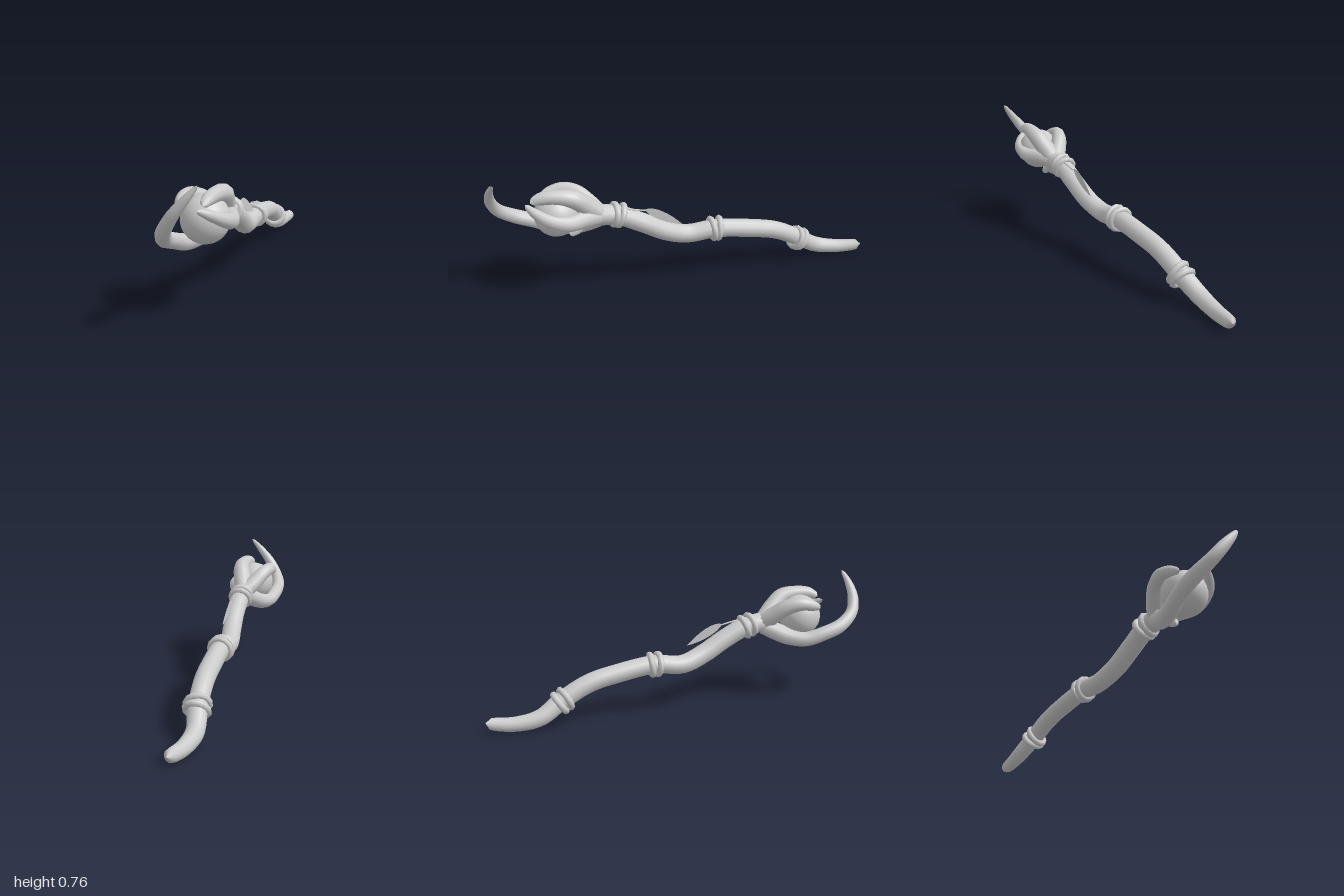
import * as THREE from 'three';

const material = new THREE.MeshStandardMaterial({ color: 0xcccccc });
const thin = new THREE.MeshStandardMaterial({ color: 0xcccccc, side: THREE.DoubleSide });
const V = (p) => new THREE.Vector3(p[0], p[1], p[2]);

// Tube through [x, y, z, radius] stations, with radius following the stations and closed ends
function limb(name, stations, sides = 10, stepsPer = 5) {
  const curve = new THREE.CatmullRomCurve3(stations.map(V));
  const n = (stations.length - 1) * stepsPer;
  const geo = new THREE.TubeGeometry(curve, n, 1, sides);
  const pos = geo.attributes.position;
  const v = new THREE.Vector3();
  for (let i = 0; i <= n; i++) {
    const centre = curve.getPointAt(i / n);
    const t = curve.getUtoTmapping(i / n) * (stations.length - 1);
    const k = Math.min(Math.floor(t), stations.length - 2);
    let r = THREE.MathUtils.lerp(stations[k][3], stations[k + 1][3], t - k);
    if (i === 0 || i === n) r = 0;
    for (let j = 0; j <= sides; j++) {
      const id = i * (sides + 1) + j;
      v.fromBufferAttribute(pos, id).sub(centre).multiplyScalar(r).add(centre);
      pos.setXYZ(id, v.x, v.y, v.z);
    }
  }
  const mesh = new THREE.Mesh(geo, material);
  mesh.name = name;
  return mesh;
}

// Pair of cord loops, slightly crossed, wrapped round the shaft
function binding(name, at, direction, radius) {
  const group = new THREE.Group();
  group.name = name;
  for (const s of [-1, 1]) {
    const loop = new THREE.Mesh(new THREE.TorusGeometry(radius, 0.019, 8, 12), material);
    loop.name = 'cordLoop';
    loop.position.z = s * 0.02;
    loop.rotation.set(s * 0.1, s * 0.08, 0);
    group.add(loop);
  }
  group.position.copy(V(at));
  group.quaternion.setFromUnitVectors(new THREE.Vector3(0, 0, 1), V(direction).normalize());
  return group;
}

export function createModel() {
  const model = new THREE.Group();
  model.name = 'staff';

  // Crooked shaft, from butt to head
  model.add(limb('shaft', [
    [0.99, 0.062, -0.625, 0.027], [0.94, 0.055, -0.61, 0.037], [0.83, 0.05, -0.57, 0.043],
    [0.71, 0.075, -0.51, 0.049], [0.61, 0.155, -0.42, 0.054], [0.48, 0.235, -0.325, 0.055],
    [0.33, 0.275, -0.225, 0.056], [0.15, 0.303, -0.11, 0.056], [0.0, 0.288, -0.025, 0.056],
    [-0.11, 0.335, 0.065, 0.058], [-0.22, 0.41, 0.145, 0.058], [-0.34, 0.477, 0.22, 0.058],
    [-0.43, 0.493, 0.275, 0.062], [-0.52, 0.505, 0.32, 0.06],
  ], 12));

  // Cord bindings
  model.add(binding('lowerBinding', [0.61, 0.15, -0.415], [-0.12, 0.09, 0.1], 0.06));
  model.add(binding('middleBinding', [0.15, 0.303, -0.11], [-0.17, 0, 0.1], 0.061));
  model.add(binding('upperBinding', [-0.345, 0.48, 0.222], [-0.11, 0.04, 0.08], 0.06));

  // Orb held by the claws
  const orb = new THREE.Mesh(new THREE.SphereGeometry(0.127, 24, 16), material);
  orb.name = 'orb';
  orb.position.set(-0.645, 0.52, 0.39);
  model.add(orb);

  // Claws
  model.add(limb('topClaw', [
    [-0.42, 0.49, 0.27, 0.05], [-0.475, 0.565, 0.335, 0.057], [-0.53, 0.63, 0.395, 0.052],
    [-0.61, 0.65, 0.44, 0.042], [-0.69, 0.645, 0.475, 0.036], [-0.745, 0.62, 0.495, 0.018],
  ]));
  model.add(limb('frontClaw', [
    [-0.42, 0.49, 0.27, 0.05], [-0.475, 0.505, 0.37, 0.05], [-0.54, 0.505, 0.46, 0.044],
    [-0.63, 0.535, 0.51, 0.037], [-0.71, 0.57, 0.51, 0.028], [-0.78, 0.602, 0.49, 0.012],
  ]));
  model.add(limb('backClaw', [
    [-0.42, 0.49, 0.27, 0.05], [-0.5, 0.545, 0.255, 0.052], [-0.58, 0.6, 0.25, 0.047],
    [-0.66, 0.62, 0.265, 0.04], [-0.73, 0.605, 0.305, 0.032], [-0.77, 0.585, 0.35, 0.015],
  ]));
  model.add(limb('hookClaw', [
    [-0.42, 0.48, 0.27, 0.05], [-0.5, 0.445, 0.28, 0.054], [-0.59, 0.41, 0.29, 0.052],
    [-0.7, 0.395, 0.305, 0.045], [-0.81, 0.43, 0.34, 0.043], [-0.9, 0.47, 0.395, 0.042],
    [-0.96, 0.54, 0.48, 0.036], [-0.96, 0.62, 0.545, 0.032], [-0.925, 0.7, 0.6, 0.022],
    [-0.88, 0.765, 0.635, 0.009],
  ]));
  model.add(limb('thornStub', [
    [-0.53, 0.43, 0.3, 0.03], [-0.56, 0.4, 0.335, 0.028], [-0.59, 0.375, 0.35, 0.016],
  ], 8));

  // Feather hanging on a thin string
  model.add(limb('featherString', [
    [-0.34, 0.525, 0.235, 0.006], [-0.27, 0.512, 0.195, 0.005], [-0.19, 0.492, 0.147, 0.005],
  ], 6));
  const start = new THREE.Vector3(-0.205, 0.5, 0.152);
  const along = new THREE.Vector3(-0.01, 0.383, 0.045).sub(start);
  const length = along.length();
  along.normalize();
  const normal = new THREE.Vector3().crossVectors(along, new THREE.Vector3(0, 1, 0)).normalize();
  const across = new THREE.Vector3().crossVectors(normal, along);
  const outline = new THREE.Shape();
  outline.moveTo(0, 0);
  outline.bezierCurveTo(length * 0.15, 0.045, length * 0.6, 0.035, length, 0);
  outline.bezierCurveTo(length * 0.7, -0.03, length * 0.2, -0.035, 0, 0);
  const feather = new THREE.Mesh(new THREE.ShapeGeometry(outline, 8), thin);
  feather.name = 'feather';
  feather.quaternion.setFromRotationMatrix(new THREE.Matrix4().makeBasis(along, across, normal));
  feather.position.copy(start);
  model.add(feather);

  return model;
}
